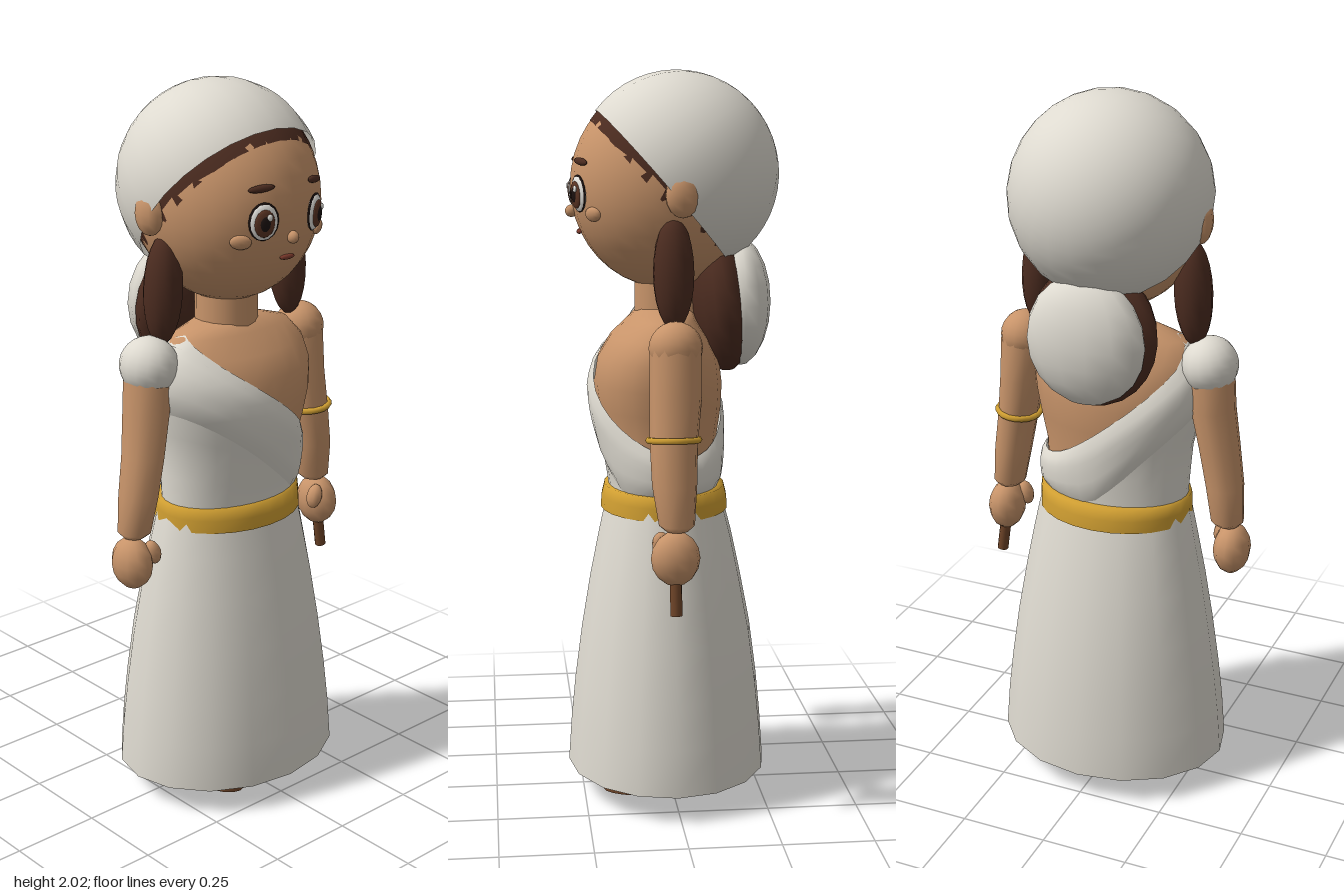
import * as THREE from 'three';

const mat = (name, color, side = THREE.FrontSide) => {
  const m = new THREE.MeshStandardMaterial({ color, side });
  m.name = name;
  return m;
};

export function createModel() {
  const skin = mat('skin', 0xc8946a);
  const cloth = mat('cloth', 0xdedad0, THREE.DoubleSide);
  const hair = mat('hair', 0x4c2c20, THREE.DoubleSide);
  const gold = mat('gold', 0xd2a032, THREE.DoubleSide);
  const eyeWhite = mat('eye white', 0xf2f0ea);
  const iris = mat('iris', 0x5c3524);
  const dark = mat('pupil', 0x1c1210);
  const leather = mat('leather', 0x6e4428);
  const lips = mat('lips', 0x7c3a2c);

  const model = new THREE.Group();
  const add = (name, geometry, material, x = 0, y = 0, z = 0, parent = model) => {
    const m = new THREE.Mesh(geometry, material);
    m.name = name;
    m.position.set(x, y, z);
    parent.add(m);
    return m;
  };
  const ball = (rx, ry, rz, w = 16, h = 12) => new THREE.SphereGeometry(1, w, h).scale(rx, ry, rz);

  // Surface through rows of points: point(row 0..1, angle) -> [x, y, z]
  const surface = (point, rows, segs) => {
    const pos = [], idx = [];
    for (let i = 0; i <= rows; i++)
      for (let j = 0; j < segs; j++) pos.push(...point(i / rows, (j / segs) * Math.PI * 2));
    for (let i = 0; i < rows; i++)
      for (let j = 0; j < segs; j++) {
        const a = i * segs + j, b = i * segs + (j + 1) % segs;
        idx.push(a, b, b + segs, a, b + segs, a + segs);
      }
    const g = new THREE.BufferGeometry();
    g.setAttribute('position', new THREE.Float32BufferAttribute(pos, 3));
    g.setIndex(idx);
    g.computeVertexNormals();
    return g;
  };
  // Profile rows are [y, rx, rz, cx, cz], from bottom to top
  const sample = (profile, y) => {
    let i = 0;
    while (i < profile.length - 2 && y > profile[i + 1][0]) i++;
    const a = profile[i], b = profile[i + 1];
    const t = THREE.MathUtils.clamp((y - a[0]) / (b[0] - a[0]), 0, 1);
    return a.map((v, k) => THREE.MathUtils.lerp(v, b[k], t));
  };
  const onProfile = (profile, y, angle, out = 0) => {
    const [, rx, rz, cx, cz] = sample(profile, y);
    return [cx + (rx + out) * Math.sin(angle), y, cz + (rz + out) * Math.cos(angle)];
  };
  const loft = (profile, segs) =>
    surface((t, a) => onProfile(profile, profile[Math.round(t * (profile.length - 1))][0], a), profile.length - 1, segs);

  // Torso and neck
  const torso = [
    [0.80, 0.20, 0.14, 0, 0.02], [0.87, 0.202, 0.142, 0, 0.02], [1.00, 0.208, 0.158, 0, 0.027],
    [1.08, 0.226, 0.172, 0, 0.03], [1.15, 0.242, 0.178, 0, 0.033], [1.22, 0.25, 0.168, 0, 0.032],
    [1.28, 0.24, 0.135, 0, 0.028], [1.33, 0.20, 0.09, 0, 0.02], [1.355, 0.11, 0.075, 0, 0.015],
    [1.365, 0.03, 0.03, 0, 0.015],
  ];
  add('torso', loft(torso, 24), skin);
  add('neck', new THREE.CylinderGeometry(0.085, 0.088, 0.16, 16), skin, 0, 1.4, 0.01);

  // One-shouldered bodice with a raised diagonal band
  const neckline = (a) => {
    const s = Math.sin(a);
    return 1.12 - 0.18 * s + 0.035 * s * s + 0.045 * Math.cos(a);
  };
  add('bodice', surface((t, a) => onProfile(torso, THREE.MathUtils.lerp(0.82, neckline(a) - 0.02, t), a, 0.01), 8, 32), cloth);
  const band = [0.011, 0.022, 0.024, 0.024, 0.023, 0.018, 0.004];
  add('diagonalBand', surface((t, a) => {
    const top = neckline(a);
    const low = Math.max(0.86, top - 0.2);
    return onProfile(torso, THREE.MathUtils.lerp(low, top, t), a, band[Math.round(t * 6)]);
  }, 6, 32), cloth);

  // Skirt, open at the hem, and belt
  add('skirt', loft([
    [0.05, 0.337, 0.281, 0, 0.01], [0.18, 0.327, 0.272, 0, 0.01], [0.3, 0.313, 0.26, 0, 0.01],
    [0.45, 0.292, 0.24, 0, 0.01], [0.6, 0.267, 0.213, 0, 0.012], [0.72, 0.244, 0.188, 0, 0.013],
    [0.8, 0.228, 0.169, 0, 0.015], [0.86, 0.214, 0.155, 0, 0.016],
  ], 16), cloth);
  add('belt', loft([
    [0.795, 0.224, 0.178, 0, 0.016], [0.83, 0.223, 0.176, 0, 0.016],
    [0.862, 0.222, 0.168, 0, 0.016], [0.864, 0.2, 0.145, 0, 0.016],
  ], 24), gold);

  // Arms, hands, legs and sandals
  for (const s of [1, -1]) {
    const side = s > 0 ? 'left' : 'right';
    add(side + 'Shoulder', ball(0.068, 0.07, 0.072), skin, s * 0.277, 1.278, 0.012);
    add(side + 'Arm', loft([
      [0.8, 0.03, 0.03, s * 0.34, 0.015], [0.815, 0.046, 0.048, s * 0.338, 0.015],
      [0.92, 0.053, 0.06, s * 0.326, 0.02], [1.03, 0.057, 0.064, s * 0.308, 0.02],
      [1.15, 0.062, 0.07, s * 0.289, 0.013], [1.28, 0.066, 0.07, s * 0.278, 0.012],
    ], 12), skin);
    add(side + 'Hand', ball(0.052, 0.074, 0.066, 12, 8), skin, s * 0.352, 0.728, 0.02);
    add(side + 'Thumb', ball(0.022, 0.036, 0.024, 10, 8), skin, s * 0.308, 0.757, 0.055).rotation.z = -s * 0.3;

    add(side + 'Leg', new THREE.CylinderGeometry(0.065, 0.045, 0.75, 14), skin, s * 0.11, 0.425, 0.01);
    add(side + 'Sole', new THREE.CylinderGeometry(1, 1, 0.02, 20).scale(0.068, 1, 0.125), leather, s * 0.115, 0.01, 0.075);
    add(side + 'Foot', ball(0.057, 0.055, 0.112), skin, s * 0.115, 0.03, 0.072);
    for (const [y, z, r] of [[0.03, 0.125, 0.056], [0.04, 0.07, 0.06]]) {
      add(side + 'Strap', new THREE.TorusGeometry(r, 0.009, 6, 16, Math.PI).scale(1, 0.85, 1.5), leather, s * 0.115, y - 0.02, z);
    }
    add(side + 'AnkleStrap', new THREE.TorusGeometry(0.049, 0.011, 6, 18).rotateX(Math.PI / 2), leather, s * 0.11, 0.11, 0.01);
  }
  add('armband', new THREE.TorusGeometry(0.059, 0.009, 6, 20).rotateX(Math.PI / 2).scale(1, 1, 1.12), gold, 0.306, 1.038, 0.02).rotation.z = 0.12;
  add('sleeve', new THREE.SphereGeometry(1, 16, 10, 0, Math.PI * 2, 0, Math.PI * 0.7).scale(0.078, 0.08, 0.084),
    cloth, -0.276, 1.272, 0.012).rotation.z = -0.15;
  add('handle', new THREE.CylinderGeometry(0.016, 0.016, 0.17, 10), leather, 0.36, 0.66, 0.02).rotation.z = 0.14;

  // Head with hair cap and headscarf, both cut along a tilted plane
  const head = new THREE.Group();
  head.name = 'head';
  model.add(head);
  const H = { y: 1.69, z: 0.01, rx: 0.247, ry: 0.28, rz: 0.262 };
  add('face', ball(H.rx, H.ry, H.rz, 28, 20), skin, 0, H.y, H.z, head);
  const cap = (deg, rx, ry, rz) =>
    new THREE.SphereGeometry(1, 24, 14, 0, Math.PI * 2, 0, THREE.MathUtils.degToRad(deg))
      .rotateX(THREE.MathUtils.degToRad(-49)).scale(rx, ry, rz);
  add('hairCap', cap(104, 0.249, 0.278, 0.268), hair, 0, 1.705, -0.003, head);
  add('headscarf', cap(101, 0.275, 0.28, 0.28), cloth, 0, 1.72, -0.02, head);

  // Hair at the back in its cloth wrap, and side locks
  add('backHair', ball(0.185, 0.195, 0.085), hair, 0, 1.37, -0.14, head).rotation.x = 0.12;
  add('hairWrap', ball(0.17, 0.18, 0.09, 14, 10), cloth, 0, 1.37, -0.19, head);

  // Places a flat oval on the face, following its curve
  const onFace = (name, material, x, y, rx, ry, depth, lift = 0, roll = 0) => {
    const u = x / H.rx, v = (y - H.y) / H.ry;
    const w = Math.sqrt(1 - u * u - v * v);
    const n = new THREE.Vector3(u / H.rx, v / H.ry, w / H.rz).normalize();
    const m = add(name, ball(rx, ry, depth, 16, 8).rotateZ(roll), material, 0, 0, 0, head);
    m.position.set(x, y, H.z + w * H.rz).addScaledVector(n, lift);
    m.quaternion.setFromUnitVectors(new THREE.Vector3(0, 0, 1), n);
  };
  for (const s of [1, -1]) {
    add('hairLock', ball(0.052, 0.15, 0.055, 14, 12), hair, s * 0.225, 1.47, 0.012, head).rotation.z = s * 0.06;
    add('ear', ball(0.032, 0.06, 0.048, 10, 8), skin, s * 0.25, 1.675, -0.01, head);
    onFace('eyeRim', dark, s * 0.09, 1.673, 0.042, 0.051, 0.007);
    onFace('eyeWhite', eyeWhite, s * 0.09, 1.672, 0.039, 0.048, 0.013);
    onFace('iris', iris, s * 0.09, 1.67, 0.028, 0.037, 0.008, 0.009);
    onFace('pupil', dark, s * 0.09, 1.67, 0.015, 0.021, 0.006, 0.0135);
    onFace('eyeGlint', eyeWhite, s * 0.09 + 0.01, 1.686, 0.008, 0.009, 0.004, 0.0165);
    onFace('brow', hair, s * 0.092, 1.757, 0.037, 0.01, 0.008, 0.003, -s * 0.05);
    onFace('cheek', skin, s * 0.137, 1.62, 0.029, 0.02, 0.013);
  }
  onFace('nose', skin, 0, 1.623, 0.015, 0.017, 0.018, 0.004);
  onFace('mouth', lips, 0, 1.567, 0.026, 0.007, 0.008, 0.002);
  return model;
}
